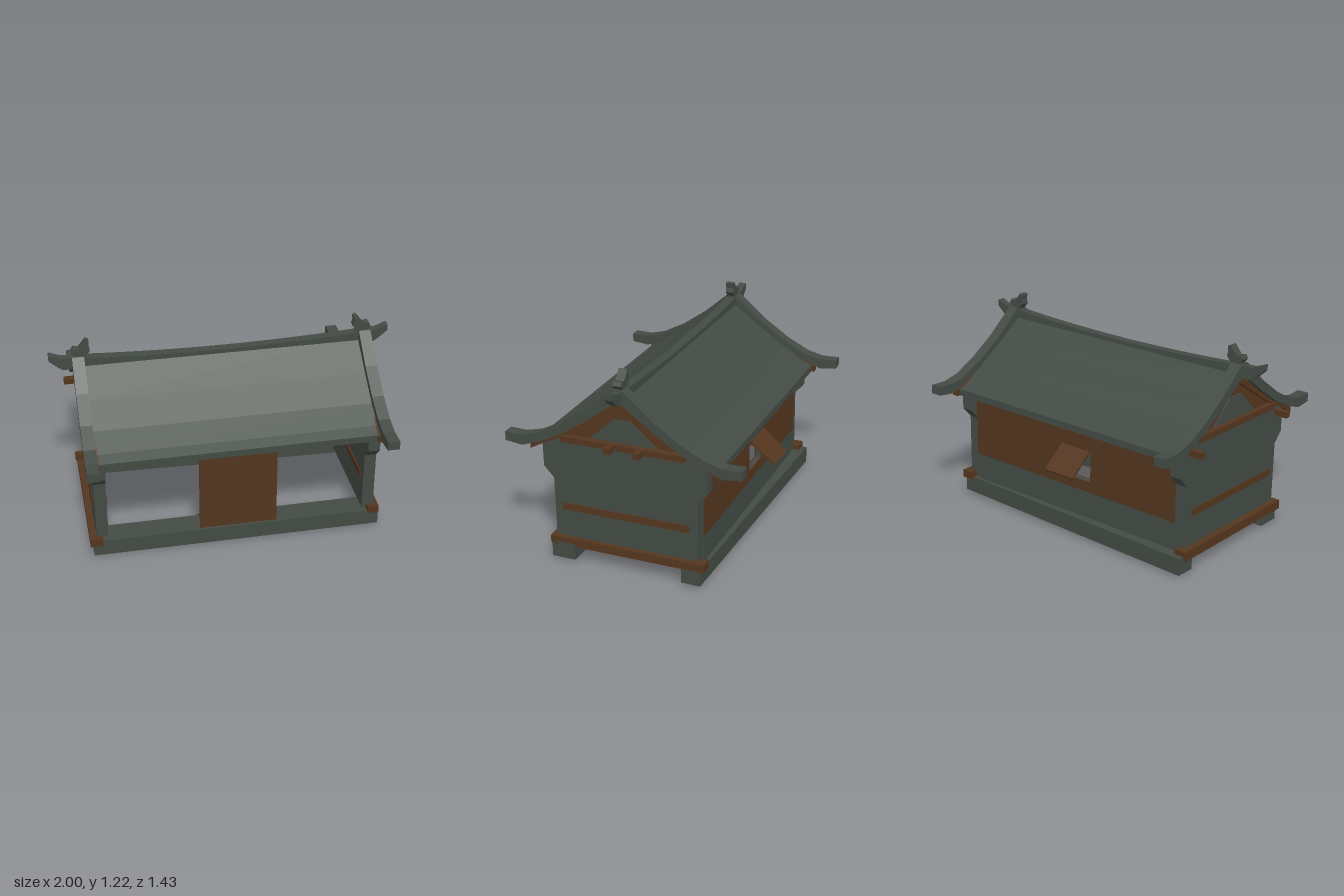
import * as THREE from 'three';

const green = new THREE.MeshStandardMaterial({ color: 0x434b44 });
green.name = 'weathered grey green';
const brown = new THREE.MeshStandardMaterial({ color: 0x54361f });
brown.name = 'timber brown';

export function createModel() {
  const model = new THREE.Group();
  model.name = 'house';
  const house = new THREE.Group();
  house.name = 'leaningHouse';
  // the whole building leans and turns very slightly
  house.rotation.set(0.018, 0.014, 0.008);
  house.position.set(0.022, 0, -0.01);
  model.add(house);

  const add = (name, geo, mat, x = 0, y = 0, z = 0) => {
    const mesh = new THREE.Mesh(geo, mat);
    mesh.name = name;
    mesh.position.set(x, y, z);
    house.add(mesh);
    return mesh;
  };
  // box given by its min and max on each axis
  const box = (name, mat, x0, x1, y0, y1, z0, z1) =>
    add(name, new THREE.BoxGeometry(x1 - x0, y1 - y0, z1 - z0), mat, (x0 + x1) / 2, (y0 + y1) / 2, (z0 + z1) / 2);
  const shapeOf = (pts) => new THREE.Shape(pts.map((p) => new THREE.Vector2(p[0], p[1])));
  const extrude = (shape, depth) => {
    const geo = new THREE.ExtrudeGeometry(shape, { depth, bevelEnabled: false });
    return geo.translate(0, 0, -depth / 2);
  };
  // profile in (z, y), extruded along x
  const section = (pts, width) => extrude(shapeOf(pts), width).rotateY(-Math.PI / 2);
  // closed symmetric outline from half profiles running eave to ridge
  const mirrorProfile = (top, bottom) => {
    const flip = (pts) => pts.map(([z, y]) => [-z, y]);
    return [...top, ...flip(top).reverse(), ...flip(bottom), ...[...bottom].reverse()];
  };

  // ground sills
  box('frontSill', green, -0.855, 0.865, 0.015, 0.115, 0.31, 0.455);
  const backSill = box('backSill', green, -0.86, 0.86, 0.007, 0.108, -0.485, -0.37);
  backSill.rotation.y = -0.034;
  box('leftSideBeam', brown, 0.795, 0.865, 0.098, 0.147, -0.48, 0.462);
  box('rightSideBeam', brown, -0.875, -0.8, 0.085, 0.14, -0.48, 0.465);

  // end walls with flared brackets under the eaves, and gables
  const wall = mirrorProfile([[0.435, 0.13], [0.435, 0.505], [0.495, 0.57], [0.495, 0.715], [0.4, 0.755]], []);
  const gable = [[-0.42, 0.745], [0.42, 0.745], [0, 1.03]];
  const gablePatch = [[-0.2, 0.785], [0.2, 0.785], [0.05, 0.92], [-0.05, 0.92]];
  for (const s of [1, -1]) {
    add('endWall', section(wall, 0.07), green, s * 0.8);
    add('gable', section(gable, 0.05), brown, s * 0.8);
    add('gablePlaster', section(gablePatch, 0.006), green, s * 0.828);
    add('gableTieBeam', new THREE.BoxGeometry(0.05, 0.036, 0.74), brown, s * 0.835, 0.765, 0);
    for (const side of [0.838, 0.762])
      add('wallRail', new THREE.BoxGeometry(0.008, 0.042, 0.77), brown, s * side, 0.338, 0);
  }
  // purlin ends
  for (const z of [0.06, -0.115]) box('leftPurlinEnd', brown, 0.8, 0.915, 0.745, 0.782, z - 0.018, z + 0.018);
  for (const z of [0.425, -0.42]) box('rightPurlinEnd', brown, -0.92, -0.78, 0.69, 0.727, z - 0.018, z + 0.018);

  // back wall with window opening
  const panel = (x0, x1, y0, y1, depth) => {
    const shape = shapeOf([[x0, y0], [x1, y0], [x1, y1], [x0, y1]]);
    const hole = [[-0.155, 0.34], [-0.155, 0.53], [0.055, 0.53], [0.055, 0.34]];
    shape.holes.push(new THREE.Path(hole.map((p) => new THREE.Vector2(p[0], p[1]))));
    return extrude(shape, depth);
  };
  add('backWall', panel(-0.77, 0.77, 0.1, 0.72, 0.03), green, 0, 0, -0.425);
  for (const z of [-0.443, -0.407]) add('backBoarding', panel(-0.765, 0.765, 0.275, 0.715, 0.008), brown, 0, 0, z);
  const flap = add('windowFlap', new THREE.BoxGeometry(0.21, 0.014, 0.19), brown, -0.05, 0.472, -0.528);
  flap.rotation.x = -0.69;

  // front door panel and its foot inside the sill
  box('door', brown, -0.222, 0.238, 0.113, 0.71, 0.425, 0.44);
  box('doorFoot', brown, -0.222, 0.238, 0.03, 0.116, 0.302, 0.31);

  // curved roof covering
  const roofTop = [[0.55, 0.715], [0.49, 0.742], [0.36, 0.815], [0.2, 0.925], [0, 1.07]];
  const roof = mirrorProfile(roofTop.slice(0, 4).concat([[0.01, 1.065]]),
    roofTop.slice(0, 4).map(([z, y]) => [z, y - 0.04]).concat([[0.01, 1.02]]));
  add('roof', section(roof, 1.62), green);

  // barge boards with upturned tips, and the rafters below them
  const barge = mirrorProfile(
    [[0.705, 0.763], [0.6, 0.76], [0.5, 0.785], [0.36, 0.857], [0.2, 0.968], [0.03, 1.115]],
    [[0.705, 0.71], [0.6, 0.698], [0.49, 0.737], [0.36, 0.8], [0.2, 0.902], [0.01, 1.045]]);
  const rafter = mirrorProfile(
    [[0.565, 0.715], [0.49, 0.745], [0.36, 0.81], [0.2, 0.91], [0.01, 1.055]],
    [[0.565, 0.672], [0.47, 0.725], [0.36, 0.775], [0.2, 0.872], [0.01, 0.995]]);
  for (const s of [1, -1]) {
    add('bargeBoard', section(barge, 0.07), green, s * 0.845);
    add('gableRafter', section(rafter, 0.05), brown, s * 0.825);
  }

  // sagging ridge beam
  const ridge = [];
  for (let i = 0; i <= 12; i++) {
    const x = -0.82 + (i / 12) * 1.64;
    ridge.push([x, 1.077 + 0.04 * x * x]);
  }
  add('ridgeBeam', extrude(shapeOf([[0.82, 1.035], ...ridge.reverse(), [-0.82, 1.035]]), 0.055), green);

  // ridge horns and finials at both ends
  const horn = [[0.8, 1.04], [0.92, 1.035], [0.955, 1.06], [1.0, 1.1], [1.0, 1.137], [0.93, 1.11], [0.87, 1.108], [0.8, 1.105]];
  const finial = [[0.8, 1.08], [0.86, 1.08], [0.862, 1.115], [0.882, 1.14], [0.87, 1.163], [0.84, 1.157],
    [0.822, 1.178], [0.797, 1.21], [0.778, 1.202], [0.783, 1.172], [0.775, 1.145], [0.8, 1.115]];
  for (const s of [1, -1]) {
    const hornMesh = add('ridgeHorn', extrude(shapeOf(horn), 0.046), green, -0.013);
    const finialMesh = add('ridgeFinial', extrude(shapeOf(finial), 0.05), green);
    if (s < 0) hornMesh.rotation.y = finialMesh.rotation.y = Math.PI;
  }
  return model;
}
